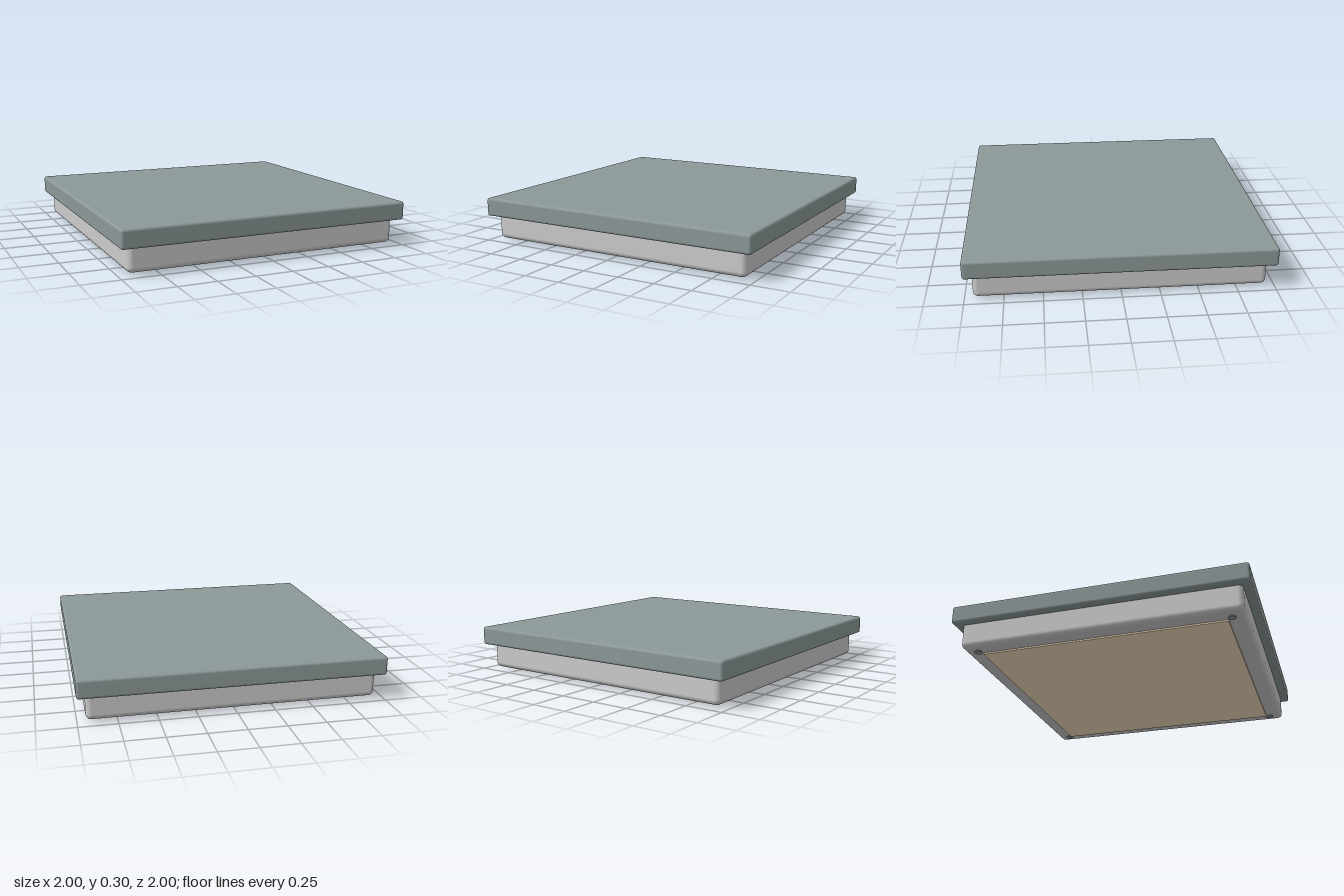
import * as THREE from 'three';
import { RoundedBoxGeometry } from 'three/addons/geometries/RoundedBoxGeometry.js';

export function createModel() {
  const model = new THREE.Group();
  model.name = 'liddedBox';
  const grey = new THREE.MeshStandardMaterial({ color: 0xcccccc });
  const slate = new THREE.MeshStandardMaterial({ color: 0x8c9898 });
  const cream = new THREE.MeshStandardMaterial({ color: 0xf8e0c0 });

  const add = (name, geometry, material, x, y, z) => {
    const mesh = new THREE.Mesh(geometry, material);
    mesh.name = name;
    mesh.position.set(x, y, z);
    model.add(mesh);
  };
  // Rounded square slab between two heights
  const slab = (name, width, bottom, top, radius, material) =>
    add(name, new RoundedBoxGeometry(width, top - bottom, width, 4, radius),
      material, 0, (bottom + top) / 2, 0);

  // Overhanging lid and the tray it sits on
  slab('lid', 2, 0.175, 0.3, 0.018, slate);
  slab('base', 1.89, 0.01, 0.25, 0.036, grey);

  // Thin panel under the base
  add('bottomPanel', new THREE.BoxGeometry(1.66, 0.02, 1.66), cream, 0, 0.01, 0);

  // Small round foot at each corner of the underside
  const foot = new THREE.CylinderGeometry(0.026, 0.026, 0.02, 24);
  for (const x of [-1, 1]) {
    for (const z of [-1, 1]) add('foot', foot, slate, x * 0.855, 0.013, z * 0.855);
  }
  return model;
}
